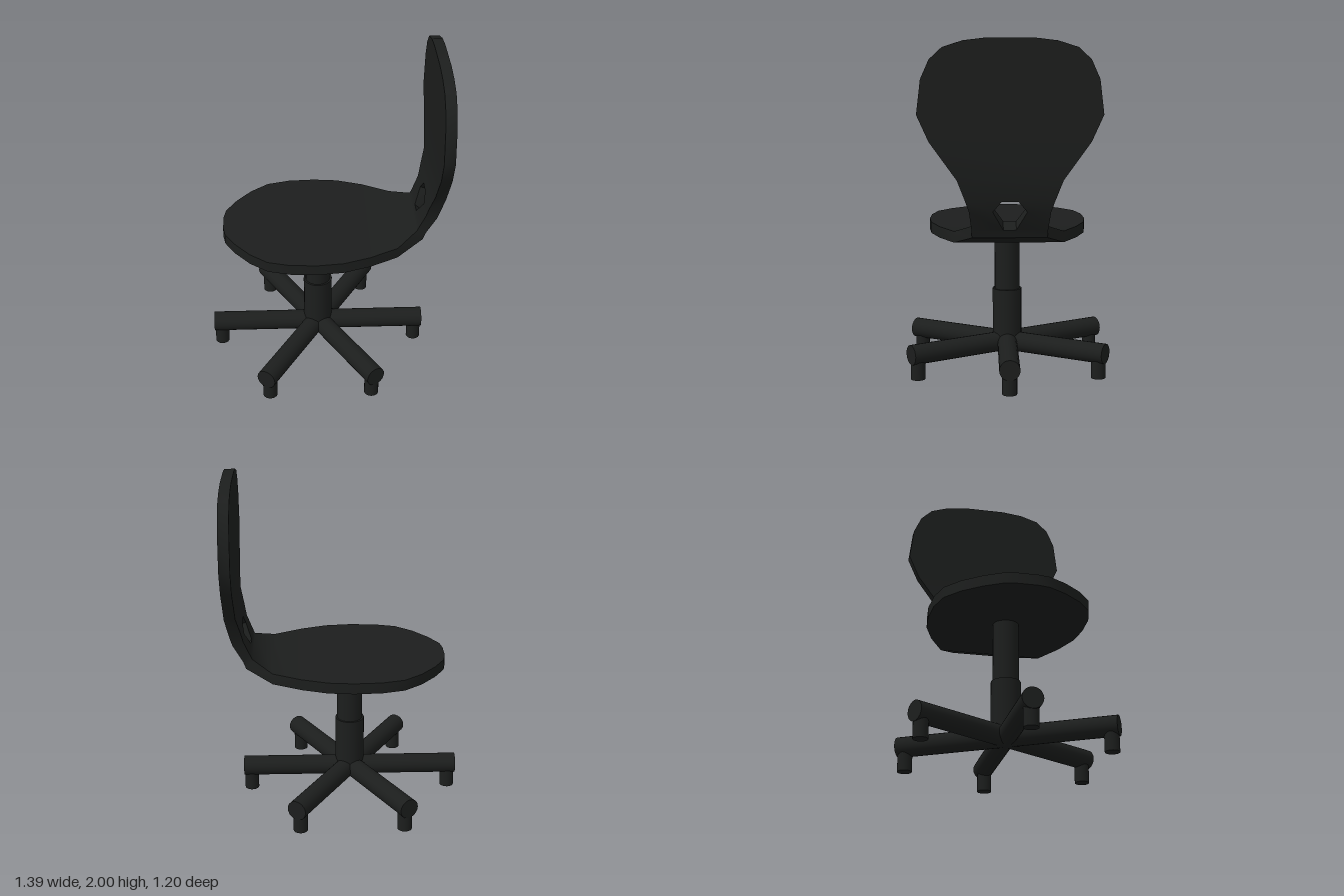
import * as THREE from 'three';
import { toCreasedNormals } from 'three/addons/utils/BufferGeometryUtils.js';

const AXIS_X = -0.04; // the column stands slightly off centre
const ARM_Y = 0.15;

// Shell cross-sections from seat front edge to top of backrest:
// inner x, inner y, outer x, outer y, half width, half width of the hole
const flat = (x, w) => [x, 0.91, x, 0.845, w, 0];
const upright = (y, w) => [0.63, y, 0.693, y, w, 0];
const STATIONS = [
  flat(-0.61, 0.06), flat(-0.597, 0.13), flat(-0.536, 0.235), flat(-0.447, 0.343),
  flat(-0.343, 0.425), flat(-0.21, 0.46), flat(-0.05, 0.468), flat(0.097, 0.453),
  flat(0.253, 0.4), flat(0.42, 0.313),
  [0.54, 0.96, 0.577, 0.9, 0.21, 0],
  [0.553, 0.99, 0.593, 0.945, 0.212, 0.036],
  [0.588, 1.075, 0.652, 1.055, 0.225, 0.095],
  [0.6, 1.135, 0.667, 1.115, 0.245, 0.045],
  [0.625, 1.24, 0.69, 1.235, 0.29, 0],
  upright(1.445, 0.44), upright(1.59, 0.505), upright(1.78, 0.482), upright(1.885, 0.435),
  upright(1.95, 0.365), upright(1.985, 0.255), upright(2, 0.13),
];

function shellGeometry() {
  const pos = [];
  const quad = (a, b, c, d) => pos.push(...a, ...b, ...c, ...a, ...c, ...d);
  const inner = (s, z) => [s[0], s[1], z];
  const outer = (s, z) => [s[2], s[3], z];

  // End face across a station between -w and w
  const cap = (s, w, atStart) => {
    const c = [inner(s, -w), outer(s, -w), outer(s, w), inner(s, w)];
    quad(...(atStart ? c : c.reverse()));
  };
  // Slab between two stations, spanning z from lo to hi
  const slab = (s, t, lo0, hi0, lo1, hi1) => {
    quad(inner(s, lo0), inner(s, hi0), inner(t, hi1), inner(t, lo1));
    quad(outer(s, lo0), outer(t, lo1), outer(t, hi1), outer(s, hi0));
    quad(inner(s, hi0), outer(s, hi0), outer(t, hi1), inner(t, hi1));
    quad(inner(s, lo0), inner(t, lo1), outer(t, lo1), outer(s, lo0));
  };

  let inHole = false;
  for (let i = 0; i < STATIONS.length - 1; i++) {
    const s = STATIONS[i], t = STATIONS[i + 1];
    const hole = s[5] > 0 && t[5] > 0;
    if (hole !== inHole) cap(s, s[5], !hole ? true : false); // lower and upper rim of the hole
    inHole = hole;
    if (hole) {
      slab(s, t, s[5], s[4], t[5], t[4]);
      slab(s, t, -s[4], -s[5], -t[4], -t[5]);
    } else {
      slab(s, t, -s[4], s[4], -t[4], t[4]);
    }
  }
  cap(STATIONS[0], STATIONS[0][4], true);
  const last = STATIONS[STATIONS.length - 1];
  cap(last, last[4], false);

  const geo = new THREE.BufferGeometry();
  geo.setAttribute('position', new THREE.Float32BufferAttribute(pos, 3));
  return toCreasedNormals(geo, 0.8);
}

export function createModel() {
  const chair = new THREE.Group();
  chair.name = 'swivelChair';
  const material = new THREE.MeshStandardMaterial({ color: 0x1c1e1d });

  const add = (parent, name, geometry, x, y, z) => {
    const mesh = new THREE.Mesh(geometry, material);
    mesh.name = name;
    mesh.position.set(x, y, z);
    parent.add(mesh);
    return mesh;
  };
  const post = (r, h) => new THREE.CylinderGeometry(r, r, h, 20);

  // One bent shell forms seat and backrest
  add(chair, 'seatAndBackrest', shellGeometry(), 0, 0, 0);

  // Telescopic column
  add(chair, 'lowerColumn', post(0.088, 0.33), AXIS_X, 0.315, 0);
  add(chair, 'upperColumn', post(0.077, 0.39), AXIS_X, 0.655, 0);

  // Six-armed base with a foot under each arm end
  const base = new THREE.Group();
  base.name = 'base';
  base.position.x = AXIS_X;
  chair.add(base);
  const armGeometry = post(0.06, 0.66).rotateZ(-Math.PI / 2);
  const footGeometry = post(0.043, ARM_Y);
  for (let i = 0; i < 6; i++) {
    const arm = new THREE.Group();
    arm.name = 'baseArm' + (i + 1);
    arm.rotation.y = (i * Math.PI) / 3;
    add(arm, 'armTube', armGeometry, 0.33, ARM_Y, 0);
    add(arm, 'foot', footGeometry, 0.615, ARM_Y / 2, 0);
    base.add(arm);
  }
  return chair;
}
